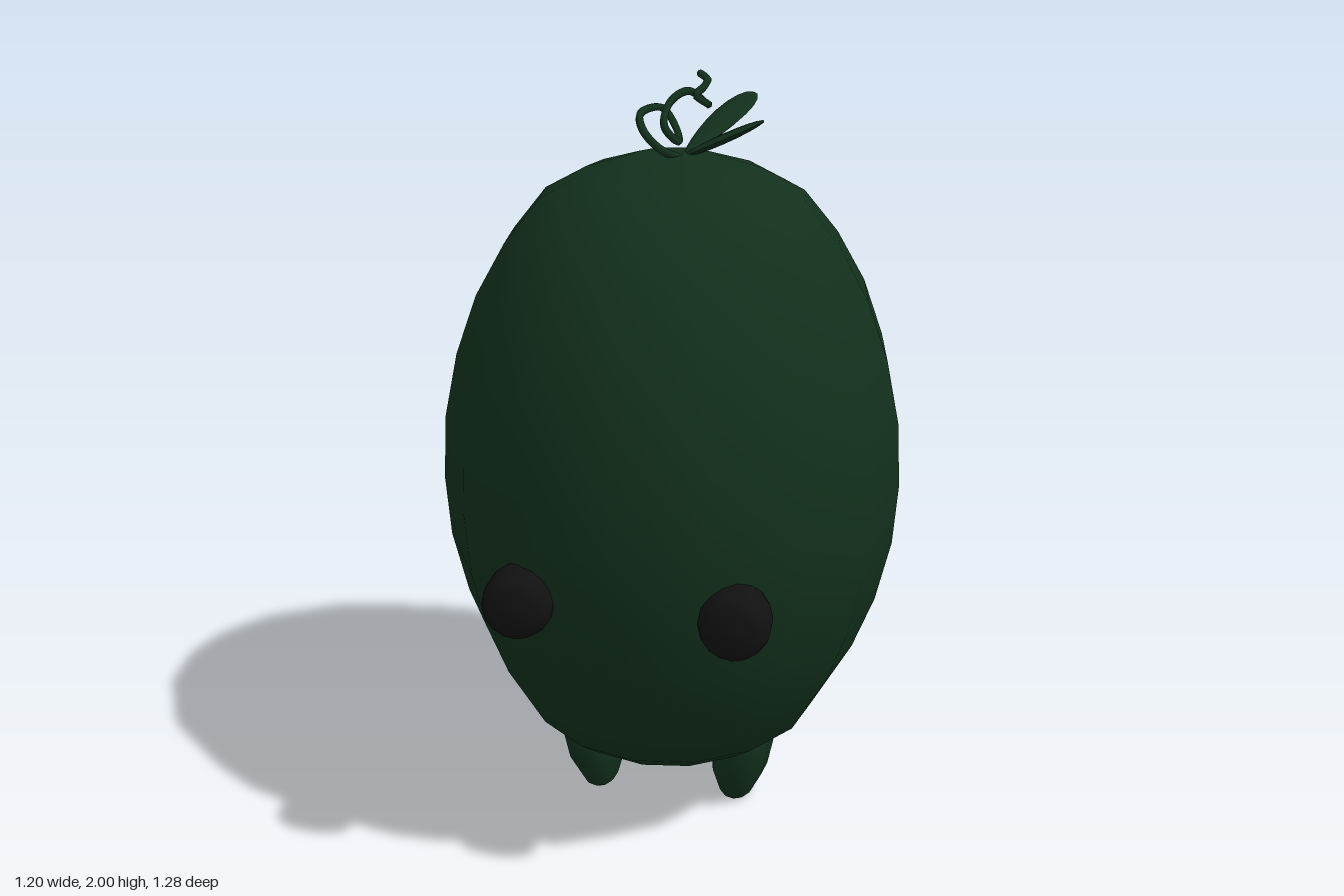
import * as THREE from 'three';

const green = new THREE.MeshStandardMaterial({ color: 0x12301c });
const black = new THREE.MeshStandardMaterial({ color: 0x111111 });
const v = (x, y, z) => new THREE.Vector3(x, y, z);

// Turned shape from [radius, height] pairs, bottom to top
function turned(profile, sides, start = 0) {
  return new THREE.LatheGeometry(profile.map(([r, y]) => new THREE.Vector2(r, y)), sides, start);
}

function add(group, name, geometry, material) {
  const mesh = new THREE.Mesh(geometry, material);
  mesh.name = name;
  group.add(mesh);
  return mesh;
}

// Flat paddle leaf from base to tip, narrow at the base
function leafGeometry(length, halfWidth) {
  const geo = new THREE.SphereGeometry(1, 10, 10);
  geo.rotateX(Math.PI / 2);
  const p = geo.attributes.position;
  for (let i = 0; i < p.count; i++) {
    const t = (p.getZ(i) + 1) / 2;
    const taper = 0.55 + 0.6 * t;
    p.setXYZ(i, p.getX(i) * halfWidth * taper, p.getY(i) * 0.012, t * length);
  }
  geo.computeVertexNormals();
  return geo;
}

export function createModel() {
  const model = new THREE.Group();
  model.name = 'sproutCreature';

  // Egg-shaped body
  const body = add(model, 'body', turned([
    [0, 0.172], [0.13, 0.185], [0.32, 0.25], [0.4, 0.315], [0.5, 0.5], [0.555, 0.65],
    [0.592, 0.82], [0.602, 0.98], [0.592, 1.15], [0.555, 1.32], [0.5, 1.47],
    [0.425, 1.6], [0.335, 1.71], [0.225, 1.77], [0.11, 1.805], [0, 1.815],
  ], 16, -0.09), green);
  body.scale.z = 1.04;
  body.position.z = -0.013;

  // Button eyes with rounded rims
  const eyeGeo = turned([
    [0, -0.073], [0.055, -0.073], [0.08, -0.05], [0.087, -0.025], [0.087, 0.025],
    [0.078, 0.052], [0.055, 0.07], [0, 0.073],
  ], 16).rotateX(Math.PI / 2);
  add(model, 'rightEye', eyeGeo, black).position.set(-0.285, 0.835, 0.545);
  add(model, 'leftEye', eyeGeo, black).position.set(0.242, 0.835, 0.567);

  // Stubby legs, leaning outward towards the top
  for (const [name, side, x] of [['rightLeg', -1, -0.207], ['leftLeg', 1, 0.187]]) {
    const geo = turned([
      [0, 0], [0.062, 0], [0.075, 0.01], [0.122, 0.09], [0.134, 0.17], [0.136, 0.235], [0.1, 0.29], [0, 0.3],
    ], 12);
    geo.scale(0.65, 1, 1);
    geo.applyMatrix4(new THREE.Matrix4().makeShear(0, 0, side * 0.1, 0, 0, 0));
    add(model, name, geo, green).position.set(x, 0, 0.01);
  }

  // Sprout leaves on the crown
  for (const [name, base, tip, width] of [
    ['backLeaf', v(0.03, 1.81, -0.03), v(0.165, 1.925, -0.28), 0.053],
    ['sideLeaf', v(0.02, 1.8, -0.035), v(0.225, 1.9, -0.005), 0.046],
  ]) {
    const leaf = add(model, name, leafGeometry(base.distanceTo(tip), width), green);
    leaf.position.copy(base);
    leaf.lookAt(tip);
  }

  // Curling tendril
  const curl = new THREE.CatmullRomCurve3([
    v(0.03, 1.8, -0.01), v(-0.02, 1.83, 0.04), v(-0.065, 1.87, 0.03), v(-0.085, 1.905, -0.04),
    v(-0.04, 1.91, -0.09), v(0, 1.86, -0.07), v(0.01, 1.84, -0.02), v(-0.02, 1.88, 0),
    v(-0.015, 1.93, -0.06), v(0.025, 1.95, -0.11), v(0.065, 1.92, -0.12), v(0.075, 1.925, -0.08),
    v(0.05, 1.95, -0.05), v(0.065, 1.965, -0.08), v(0.07, 1.98, -0.11), v(0.05, 1.99, -0.13),
  ]);
  add(model, 'tendril', new THREE.TubeGeometry(curl, 90, 0.01, 6), green);
  const tip = add(model, 'tendrilTip', new THREE.SphereGeometry(0.01, 6, 4), green);
  tip.position.copy(curl.getPoint(1));

  return model;
}
